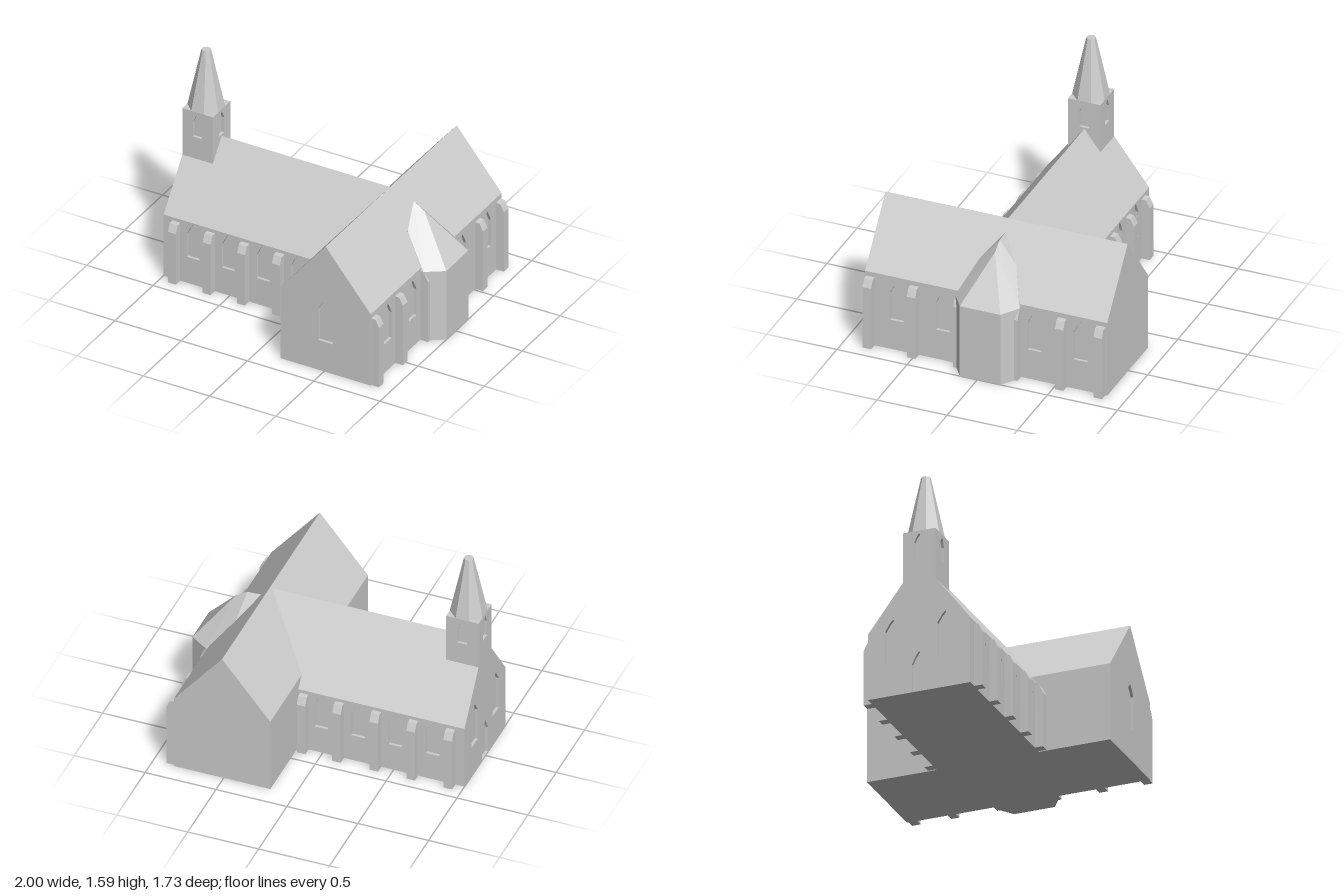
import * as THREE from 'three';
import { ConvexGeometry } from 'three/addons/geometries/ConvexGeometry.js';

const D = 0.02; // depth of window recesses

export function createModel() {
  const church = new THREE.Group();
  church.name = 'church';
  const stone = new THREE.MeshStandardMaterial({ color: 0xcccccc });
  stone.name = 'grey stone';

  const add = (name, geometry, x = 0, y = 0, z = 0, turn = 0) => {
    const mesh = new THREE.Mesh(geometry, stone);
    mesh.name = name;
    mesh.position.set(x, y, z);
    mesh.rotation.y = turn;
    church.add(mesh);
    return mesh;
  };
  const polygon = (pts) => new THREE.Shape(pts.map(([x, y]) => new THREE.Vector2(x, y)));

  // Solid block given by its limits
  const block = (name, x0, x1, y0, y1, z0, z1) =>
    add(name, new THREE.BoxGeometry(x1 - x0, y1 - y0, z1 - z0),
      (x0 + x1) / 2, (y0 + y1) / 2, (z0 + z1) / 2);

  // Pointed opening: centre, width, sill, shoulder, peak
  const lancet = (u, w, sill, shoulder, peak) => new THREE.Path([
    [u - w / 2, sill], [u - w / 2, shoulder], [u - w / 4, (shoulder + peak) / 2 + 0.008], [u, peak],
    [u + w / 4, (shoulder + peak) / 2 + 0.008], [u + w / 2, shoulder], [u + w / 2, sill],
  ].map(([x, y]) => new THREE.Vector2(x, y)));

  // Wall skin with openings; its outer face looks along the turned +z
  const wall = (name, pts, openings, x, z, turn) => {
    const shape = polygon(pts);
    shape.holes.push(...openings);
    const g = new THREE.ExtrudeGeometry(shape, { depth: D, bevelEnabled: false });
    g.translate(0, 0, -D);
    return add(name, g, x, 0, z, turn);
  };
  const rect = (u0, u1, y0, y1) => [[u0, y0], [u1, y0], [u1, y1], [u0, y1]];
  const gable = (w, eave, ridge) => [[-w, 0], [w, 0], [w, eave], [0, ridge], [-w, eave]];

  // Gabled roof running along local z
  const roof = (name, w, eave, ridge, length, x, z, turn) => {
    const g = new THREE.ExtrudeGeometry(
      polygon([[-w, eave], [w, eave], [0, ridge]]), { depth: length, bevelEnabled: false });
    add(name, g, x, 0, z, turn);
  };

  // Buttress with sloped cap, projecting along the turned +x
  const buttress = (name, h, x, z, turn) => {
    const g = new THREE.ExtrudeGeometry(
      polygon([[-0.02, 0], [0.058, 0], [0.058, h - 0.06], [0.032, h - 0.006], [-0.02, h]]),
      { depth: 0.06, bevelEnabled: false });
    g.translate(0, 0, -0.03);
    add(name, g, x, 0, z, turn);
  };

  const E = Math.PI / 2, B = Math.PI, W = -Math.PI / 2;

  // Nave
  const nz = -0.004, nw = 0.363, nEave = 0.472, nRidge = 0.955;
  block('naveCore', -1 + D, 0.3, 0, nEave, nz - nw + D, nz + nw - D);
  roof('naveRoof', nw, nEave, nRidge, 1.5, -1 + D, nz, E);
  const naveX = [-0.775, -0.512, -0.25, 0.01];
  for (const s of [1, -1]) {
    const pts = s > 0 ? rect(-1, 0.2, 0, nEave) : rect(-0.2, 1, 0, nEave);
    wall(s > 0 ? 'naveFrontWall' : 'naveBackWall', pts,
      naveX.map((x) => lancet(s * x, 0.095, 0.2, 0.38, 0.466)), 0, nz + s * nw, s > 0 ? 0 : B);
    for (const x of [-0.905, -0.643, -0.383, -0.12, 0.13])
      buttress('naveButtress', 0.45, x, nz + s * nw, s > 0 ? W : E);
  }
  wall('naveEndGable', gable(nw, nEave, nRidge), [
    lancet(-0.185, 0.11, 0.23, 0.47, 0.55),
    lancet(0.185, 0.11, 0.23, 0.47, 0.55),
    lancet(0, 0.1, 0.004, 0.2, 0.29),
  ], -1, nz, W);

  // Transept
  const tx = 0.512, tw = 0.34, tz = 0.863, tEave = 0.55, tRidge = 0.968;
  block('transeptCore', tx - tw, tx + tw - D, 0, tEave, -tz + D, tz - D);
  roof('transeptRoof', tw, tEave, tRidge, 2 * (tz - D), tx, -tz + D, 0);
  wall('transeptFrontGable', gable(tw, tEave, tRidge),
    [lancet(0, 0.11, 0.23, 0.475, 0.545)], tx, tz, 0);
  wall('transeptBackGable', gable(tw, tEave, tRidge), [], tx, -tz, B);
  wall('transeptSideWall', rect(-tz, tz, 0, tEave),
    [0.637, 0.31, -0.345, -0.672].map((z) => lancet(-z, 0.098, 0.22, 0.42, 0.51)), tx + tw, 0, E);
  for (const z of [0.825, 0.51, 0.18, -0.218, -0.545, -0.82])
    buttress('transeptButtress', 0.518, tx + tw, z, 0);

  // Faceted apse with hipped roof
  const plan = [[0.8, -0.248], [0.875, -0.248], [1, -0.165], [1, 0.125], [0.875, 0.21], [0.8, 0.21]];
  const apse = [];
  for (const [x, z] of plan)
    apse.push(new THREE.Vector3(x, 0, z), new THREE.Vector3(x, 0.53, z));
  for (const [x, y, z] of [[0.57, 0.895, -0.02], [0.67, 0.89, -0.02], [0.75, 0.84, -0.02],
    [0.7, 0.738, 0.11], [0.7, 0.738, -0.15]])
    apse.push(new THREE.Vector3(x, y, z));
  add('apse', new ConvexGeometry(apse));

  // Bell tower with an opening on each side
  const cx = -0.885, cz = -0.003, a = 0.115, top = 1.16;
  block('towerCore', cx - a + D, cx + a - D, 0.7, top, cz - a + D, cz + a - D);
  for (let i = 0; i < 4; i++) {
    const t = i * E;
    wall('towerWall', rect(-a, a, 0.7, top), [lancet(0, 0.068, 0.965, 1.08, 1.14)],
      cx + a * Math.sin(t), cz + a * Math.cos(t), t);
  }

  // Eight-sided spire with a blunt tip
  const k = 1 / Math.cos(Math.PI / 8);
  const spire = new THREE.CylinderGeometry(0.03 * k, a * k, 0.428, 8, 1).toNonIndexed();
  spire.computeVertexNormals();
  add('spire', spire, cx, top + 0.214, cz, Math.PI / 8);

  return church;
}
